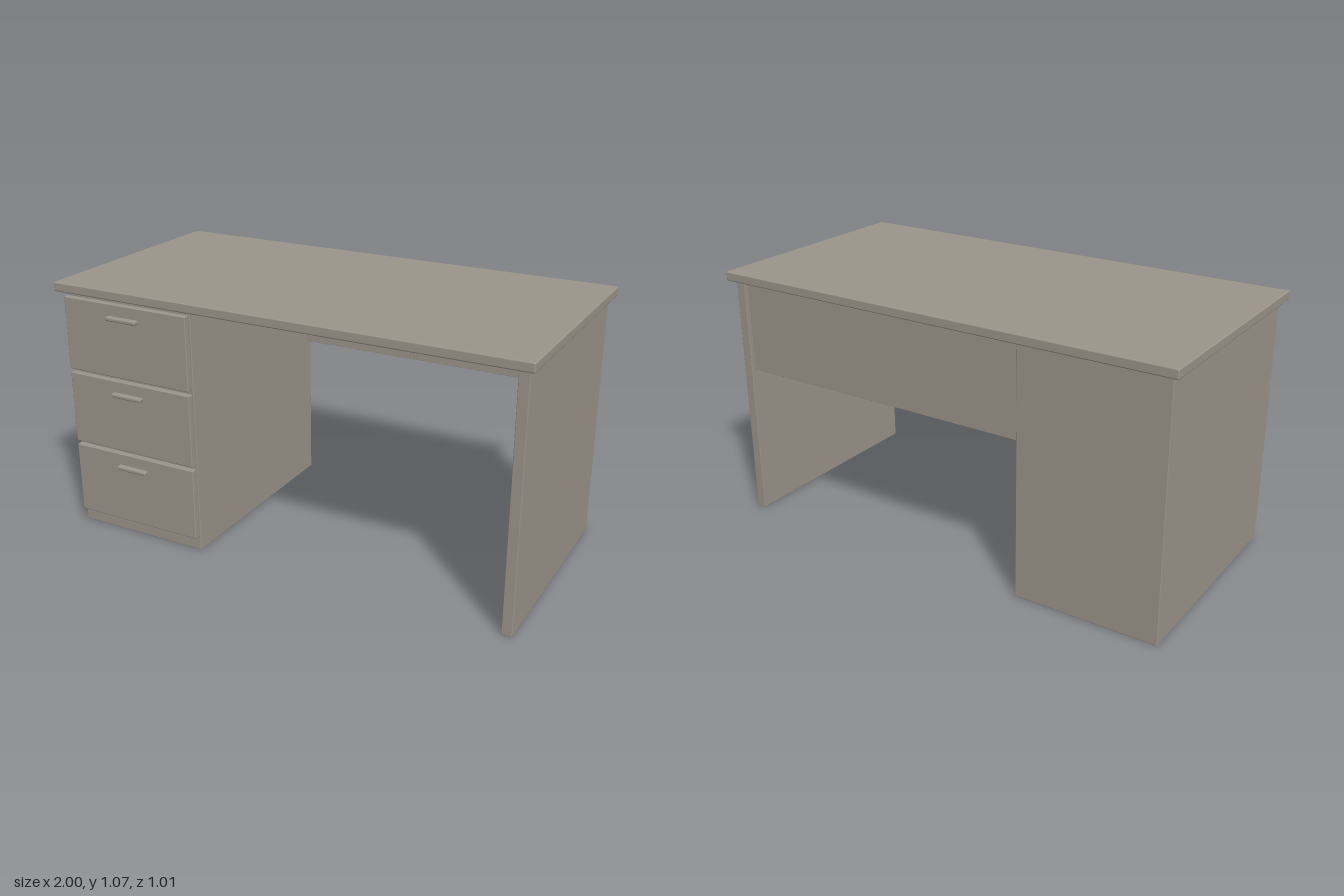
import * as THREE from 'three';
import { RoundedBoxGeometry } from 'three/addons/geometries/RoundedBoxGeometry.js';

export function createModel() {
  const desk = new THREE.Group();
  desk.name = 'desk';

  const greige = new THREE.MeshStandardMaterial({ color: 0x9c948a });
  greige.name = 'warm grey laminate';

  // Softly rounded box given by its extents on each axis
  function panel(name, [x0, x1], [y0, y1], [z0, z1], radius, parent = desk) {
    const geometry = new RoundedBoxGeometry(x1 - x0, y1 - y0, z1 - z0, 2, radius);
    const mesh = new THREE.Mesh(geometry, greige);
    mesh.name = name;
    mesh.position.set((x0 + x1) / 2, (y0 + y1) / 2, (z0 + z1) / 2);
    parent.add(mesh);
    return mesh;
  }

  const bodyDepth = [-0.476, 0.453];

  panel('desktop', [-1, 1], [1.031, 1.07], [-0.504, 0.496], 0.006);
  panel('drawerCabinet', [-0.972, -0.375], [0, 1.031], bodyDepth, 0.003);
  panel('sidePanel', [0.93, 0.972], [0, 1.031], bodyDepth, 0.003);
  panel('modestyPanel', [-0.376, 0.931], [0.645, 1.031], [-0.458, -0.433], 0.001);

  // Three equal drawers, each with a slim bar handle
  const pitch = 0.322;
  ['lower', 'middle', 'upper'].forEach((level, i) => {
    const drawer = new THREE.Group();
    drawer.name = level + 'Drawer';
    drawer.position.y = 0.06 + i * pitch;
    desk.add(drawer);
    panel('drawerFront', [-0.967, -0.381], [0, 0.306], [0.452, 0.479], 0.004, drawer);
    panel('drawerHandle', [-0.746, -0.602], [0.243, 0.26], [0.478, 0.504], 0.006, drawer);
  });

  return desk;
}
